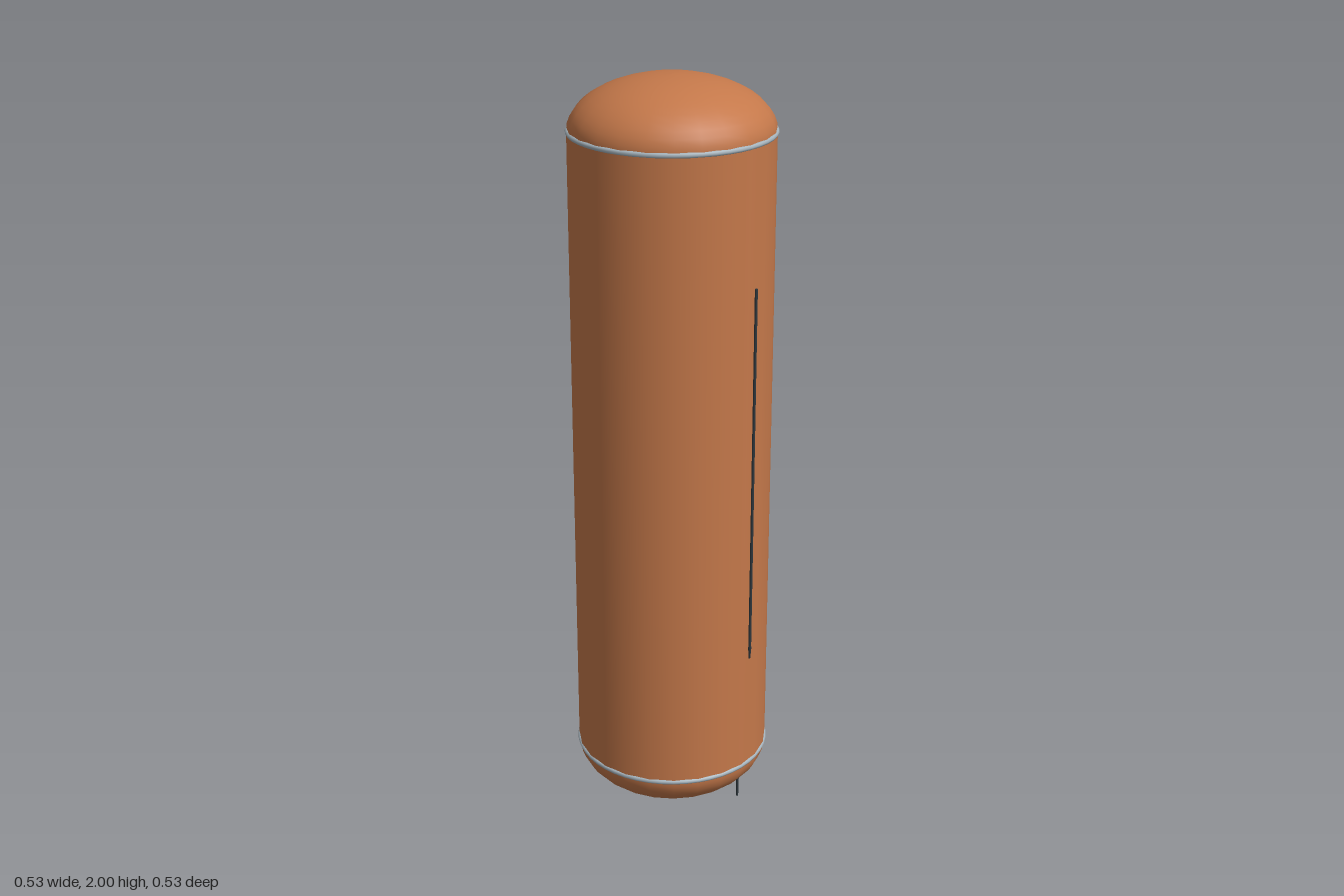
import * as THREE from 'three';

const R = 0.26, LOW = 0.146, HIGH = 1.863, ANGLE = 0.375;

export function createModel() {
  const model = new THREE.Group();
  model.name = 'tank';
  const copper = new THREE.MeshStandardMaterial({ name: 'copper', color: 0xc4784a });
  const steel = new THREE.MeshStandardMaterial({ name: 'steel', color: 0xa6b4bd });
  const dark = new THREE.MeshStandardMaterial({ name: 'dark metal', color: 0x2f383e });

  const add = (parent, name, geometry, material, x = 0, y = 0, z = 0) => {
    const mesh = new THREE.Mesh(geometry, material);
    mesh.name = name;
    mesh.position.set(x, y, z);
    parent.add(mesh);
    return mesh;
  };

  // Upright shell with a shallow elliptical dome at each end
  const profile = [];
  const steps = 12;
  for (let i = 0; i <= steps; i++) {
    const a = (i / steps) * Math.PI / 2;
    profile.push(new THREE.Vector2(R * Math.sin(a), LOW - (LOW - 0.004) * Math.cos(a)));
  }
  for (let i = steps; i >= 0; i--) {
    const a = (i / steps) * Math.PI / 2;
    profile.push(new THREE.Vector2(R * Math.sin(a), HIGH + (2 - HIGH) * Math.cos(a)));
  }
  add(model, 'shell', new THREE.LatheGeometry(profile, 24), copper);

  // Bands where the domes meet the wall
  for (const [name, y] of [['lowerBand', LOW], ['upperBand', HIGH]]) {
    add(model, name, new THREE.TorusGeometry(0.2565, 0.007, 8, 48), steel, 0, y).rotation.x = Math.PI / 2;
  }

  // A slim rod with a pointed tip and a short pin, repeated on opposite sides
  for (const [name, turn] of [['front', 0], ['back', Math.PI]]) {
    const side = new THREE.Group();
    side.name = name + 'Fittings';
    side.rotation.y = ANGLE + turn;
    add(side, name + 'Rod', new THREE.CylinderGeometry(0.004, 0.004, 1.0, 8), dark, 0, 1.005, 0.26);
    add(side, name + 'RodTip', new THREE.CylinderGeometry(0.005, 0.002, 0.035, 8), dark, 0, 0.4875, 0.26);
    add(side, name + 'Pin', new THREE.CylinderGeometry(0.004, 0.003, 0.065, 8), dark, 0, 0.0575, 0.227);
    model.add(side);
  }
  return model;
}
